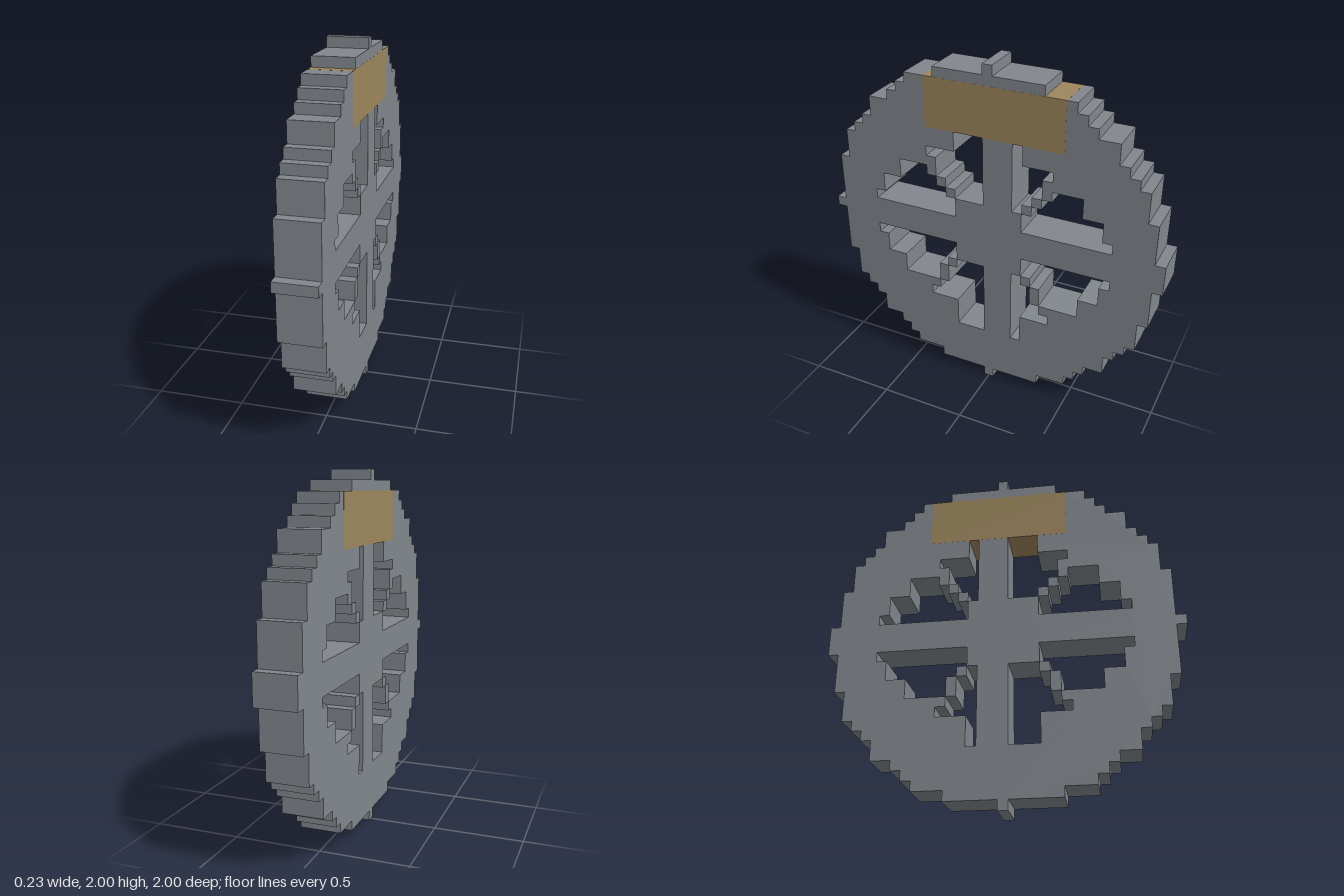
import * as THREE from 'three';

const CELL = 2 / 35;          // the wheel is 35 square cells across
const THICK = 4 * CELL;
const rowY = (row) => 2 - row * CELL;   // row 0 is the top one

// Stepped counter-clockwise outline, symmetric in z, from runs of [row count, half width in cells]
function steppedOutline(startRow, runs) {
  const side = [];
  let row = startRow;
  for (const [count, half] of runs) {
    side.push([-half, row], [-half, row + count]);
    row += count;
  }
  const mirrored = side.map(([z, r]) => [-z, r]).reverse();
  return [...side, ...mirrored].map(([z, r]) => new THREE.Vector2(z * CELL, rowY(r)));
}

export function createModel() {
  const group = new THREE.Group();
  group.name = 'spokedWheel';
  const grey = new THREE.MeshStandardMaterial({ color: 0x82878d, flatShading: true });
  const tan = new THREE.MeshStandardMaterial({ color: 0x9d865d, flatShading: true });

  // Box spanning cells z0..z1 and rows r0..r1, optionally a little proud
  function block(name, z0, z1, r0, r1, material = grey, proud = 0) {
    const geometry = new THREE.BoxGeometry(
      THICK + 2 * proud, (r1 - r0) * CELL + 2 * proud, (z1 - z0) * CELL);
    const mesh = new THREE.Mesh(geometry, material);
    mesh.position.set(0, rowY((r0 + r1) / 2), (z0 + z1) / 2 * CELL);
    mesh.name = name;
    group.add(mesh);
  }

  // Rim: stepped disc with a stepped opening
  const upper = [[1, 0.5], [1, 5.5], [1, 8.5], [1, 9.5], [1, 10.5], [2, 12.5],
    [1, 13.5], [1, 14.5], [3, 15.5], [5, 16.5]];
  const rimShape = new THREE.Shape(
    steppedOutline(0, [...upper, [1, 17.5], ...[...upper].reverse()]));
  rimShape.holes.push(new THREE.Path(steppedOutline(7, [
    [2, 3.5], [1, 6.5], [1, 5.5], [2, 9.5], [2, 11.5], [5, 12.5],
    [2, 11.5], [2, 9.5], [1, 5.5], [1, 6.5], [3, 3.5]])));
  const rimGeometry = new THREE.ExtrudeGeometry(rimShape, { depth: THICK, bevelEnabled: false });
  rimGeometry.translate(0, 0, -THICK / 2).rotateY(-Math.PI / 2);
  const rim = new THREE.Mesh(rimGeometry, grey);
  rim.name = 'rim';
  group.add(rim);

  // Wider tooth at the back of the rim
  block('backTooth', -17.5, -16.5, 16, 19);

  // Hub and straight spokes (the upright ones sit off centre)
  block('hub', -3.5, 3.5, 14, 21);
  block('topSpoke', -2.5, 0.5, 7, 14);
  block('bottomSpoke', -2.5, 0.5, 21, 29);
  block('frontSpoke', 3.5, 12.5, 16, 19);
  block('backSpoke', -12.5, -3.5, 16, 19);

  // Thin stair-stepped diagonal spokes: [inner cell edge, first row, last row edge]
  const steps = [[5.5, 11, 12], [4.5, 12, 13], [3.5, 13, 14], [3.5, 21, 22], [4.5, 22, 24]];
  for (const [z, r0, r1] of steps) {
    block('diagonalSpokeStep', z, z + 1, r0, r1);
    block('diagonalSpokeStep', -z - 1, -z, r0, r1);
  }

  // Coloured panel set through the top of the rim
  block('topPanel', -7.5, 6.5, 2, 7, tan, 0.0005);

  return group;
}
